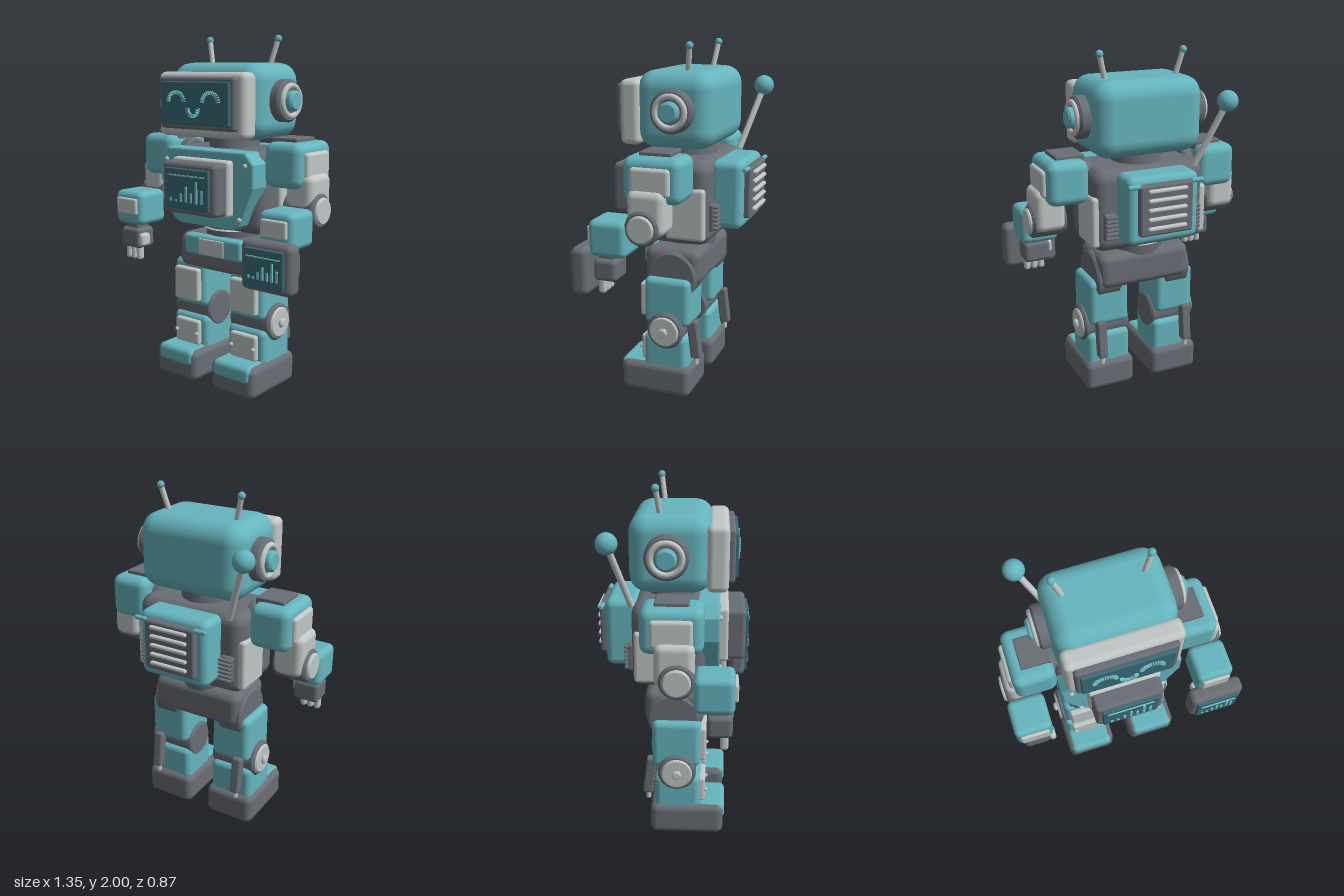
import * as THREE from 'three';
import { RoundedBoxGeometry } from 'three/addons/geometries/RoundedBoxGeometry.js';

const paint = (name, color) => {
  const m = new THREE.MeshStandardMaterial({ color });
  m.name = name;
  return m;
};

export function createModel() {
  const teal = paint('teal shell', 0x66b5be);
  const light = paint('light grey panel', 0xc0c7c6);
  const dark = paint('dark grey frame', 0x696e75);
  const glass = paint('screen glass', 0x3a6b79);
  const glow = paint('screen glow', 0x78c8cc);

  const model = new THREE.Group();
  model.name = 'robot';
  const body = new THREE.Group();
  body.name = 'body';
  body.position.x = -0.027;
  model.add(body);

  const add = (name, geo, mat, x = 0, y = 0, z = 0) => {
    const m = new THREE.Mesh(geo, mat);
    m.name = name;
    m.position.set(x, y, z);
    body.add(m);
    return m;
  };
  // Rounded box given by its limits on each axis
  const box = (name, mat, x0, x1, y0, y1, z0, z1, r = 0.02) => {
    const w = Math.abs(x1 - x0), h = y1 - y0, d = z1 - z0;
    const rr = Math.min(r, w * 0.48, h * 0.48, d * 0.48);
    return add(name, new RoundedBoxGeometry(w, h, d, 3, rr), mat, (x0 + x1) / 2, (y0 + y1) / 2, (z0 + z1) / 2);
  };
  const ball = (name, mat, r, x, y, z) => add(name, new THREE.SphereGeometry(r, 24, 16), mat, x, y, z);
  // Disc lying along x, with a softened rim
  const disc = (name, mat, r, x0, x1, y, z, sides = 32) => {
    const h = Math.abs(x1 - x0) / 2, b = Math.min(0.012, h * 0.6, r * 0.3);
    const pts = [[0, -h], [r - b, -h], [r - b, -h], [r, b - h], [r, b - h], [r, h - b], [r, h - b], [r - b, h], [r - b, h], [0, h]];
    const m = add(name, new THREE.LatheGeometry(pts.map(p => new THREE.Vector2(...p)), sides), mat, (x0 + x1) / 2, y, z);
    m.rotation.z = Math.PI / 2;
    return m;
  };
  const rod = (name, mat, r, a, b) => {
    const p = new THREE.Vector3(...a), q = new THREE.Vector3(...b);
    const m = add(name, new THREE.CylinderGeometry(r, r, p.distanceTo(q), 16), mat);
    m.position.copy(p).lerp(q, 0.5);
    m.quaternion.setFromUnitVectors(new THREE.Vector3(0, 1, 0), q.sub(p).normalize());
    return m;
  };
  // Arc built from short radial ticks
  const tickArc = (name, x, y, z, r, a0, a1, n) => {
    for (let i = 0; i <= n; i++) {
      const a = a0 + (a1 - a0) * i / n;
      const m = add(name, new THREE.BoxGeometry(0.02, 0.007, 0.014), glow, x + r * Math.cos(a), y + r * Math.sin(a), z);
      m.rotation.z = a;
    }
  };
  // Title line and bars on a screen
  const chart = (name, x, y, z, k) => {
    const flat = (w, h, dx, dy) => add(name, new THREE.BoxGeometry(w * k, h * k, 0.008), glow, x + dx * k, y + dy * k, z);
    flat(0.26, 0.008, 0, 0.075);
    [0.02, 0.012, 0.045, 0.085, 0.055, 0.12, 0.075].forEach((h, i) => flat(0.014, h, -0.11 + i * 0.037, -0.07 + h / 2));
  };

  // Head and face
  box('head', teal, -0.32, 0.32, 1.43, 1.85, -0.242, 0.2, 0.1);
  box('facePlate', light, -0.31, 0.31, 1.445, 1.8, 0.17, 0.288, 0.035);
  box('faceFrame', dark, -0.268, 0.268, 1.49, 1.775, 0.27, 0.32, 0.018);
  box('faceScreen', glass, -0.243, 0.243, 1.515, 1.75, 0.31, 0.336, 0.008);
  for (const s of [-1, 1]) tickArc('eye', s * 0.122, 1.635, 0.341, 0.057, 0.15, Math.PI - 0.15, 14);
  tickArc('smile', 0, 1.604, 0.341, 0.038, Math.PI, 2 * Math.PI, 11);
  for (const s of [-1, 1]) {
    // Ears and small antennas
    disc('earBase', dark, 0.117, s * 0.3, s * 0.378, 1.645, -0.035);
    const ring = add('earRing', new THREE.TorusGeometry(0.083, 0.016, 12, 36), light, s * 0.382, 1.645, -0.035);
    ring.rotation.y = Math.PI / 2;
    disc('earButton', teal, 0.057, s * 0.37, s * 0.42, 1.645, -0.035);
    rod('antennaRod', light, 0.015, [s * 0.208, 1.83, -0.075], [s * 0.247, 1.98, -0.097]);
    ball('antennaTip', teal, 0.021, s * 0.247, 1.98, -0.097);
  }
  rod('rearAntennaRod', light, 0.018, [-0.26, 1.36, -0.23], [-0.396, 1.72, -0.335]);
  ball('rearAntennaBall', teal, 0.058, -0.396, 1.725, -0.335);
  add('neck', new THREE.CylinderGeometry(0.14, 0.15, 0.12, 32), dark, 0, 1.4, -0.02);

  // Torso with tapered chest plate
  box('torso', dark, -0.335, 0.335, 0.91, 1.38, -0.23, 0.17, 0.07);
  const plate = new THREE.Shape([[-0.19, 0.955], [0.19, 0.955], [0.235, 0.98], [0.325, 1.19], [0.325, 1.31], [0.275, 1.365],
    [-0.275, 1.365], [-0.325, 1.31], [-0.325, 1.19], [-0.235, 0.98]].map(p => new THREE.Vector2(...p)));
  add('chestPlate', new THREE.ExtrudeGeometry(plate, { depth: 0.1, bevelSize: 0.012, bevelThickness: 0.012, bevelSegments: 3 }), teal, 0, 0, 0.135);
  box('chestBacking', light, -0.203, 0.203, 1.02, 1.33, 0.22, 0.295, 0.02);
  box('chestFrame', dark, -0.192, 0.192, 1.03, 1.317, 0.27, 0.388, 0.025);
  box('chestScreen', glass, -0.158, 0.158, 1.06, 1.285, 0.37, 0.403, 0.008);
  chart('chestChart', 0, 1.172, 0.405, 1);
  for (const s of [-1, 1]) {
    ball('chestBolt', light, 0.014, s * 0.285, 1.307, 0.247);
    ball('chestBolt', light, 0.014, s * 0.245, 1.01, 0.247);
    box('torsoSidePanel', light, s * 0.3, s * 0.35, 0.945, 1.235, -0.215, 0.01, 0.02);
    box('backVent', dark, s * 0.22, s * 0.29, 0.995, 1.145, -0.25, -0.21, 0.01);
    for (let i = 0; i < 6; i++) box('backVentRib', dark, s * 0.215, s * 0.288, 1.003 + i * 0.024, 1.016 + i * 0.024, -0.272, -0.23, 0.005);
  }

  // Backpack
  box('backpack', teal, -0.212, 0.212, 0.99, 1.37, -0.382, -0.2, 0.04);
  box('backpackGrille', dark, -0.157, 0.157, 1.05, 1.335, -0.418, -0.36, 0.015);
  for (let i = 0; i < 5; i++) box('grilleSlat', light, -0.115, 0.115, 1.083 + i * 0.052, 1.105 + i * 0.052, -0.437, -0.405, 0.01);
  for (const s of [-1, 1]) disc('backpackPin', teal, 0.013, s * 0.15, s * 0.222, 1.33, -0.4, 16);

  // Waist and pelvis
  add('waist', new THREE.CylinderGeometry(0.165, 0.155, 0.12, 32), dark, 0, 0.9, -0.01);
  add('waistRing', new THREE.CylinderGeometry(0.13, 0.17, 0.04, 32), light, 0, 0.925, -0.01);
  box('pelvis', dark, -0.282, 0.282, 0.655, 0.865, -0.165, 0.165, 0.05);
  box('beltPlate', teal, -0.21, 0.21, 0.75, 0.87, 0.12, 0.195, 0.02);
  box('beltBadge', light, -0.092, 0.092, 0.76, 0.855, 0.18, 0.202, 0.006);

  for (const s of [-1, 1]) {
    const c = s * 0.212;
    const pair = (name, mat, half, ...rest) => box(name, mat, c - half, c + half, ...rest);
    // Leg
    disc('hipJoint', dark, 0.145, s * 0.14, s * 0.295, 0.705, -0.005);
    pair('thigh', teal, 0.12, 0.42, 0.7, -0.125, 0.15, 0.035);
    pair('thighPanel', light, 0.093, 0.455, 0.655, 0.13, 0.182, 0.014);
    disc('kneeJoint', dark, 0.108, s * 0.075, s * 0.355, 0.395, 0.017);
    pair('kneePad', dark, 0.125, 0.32, 0.45, -0.08, 0.125, 0.03);
    disc('kneeCap', light, 0.088, s * 0.34, s * 0.367, 0.395, 0.017);
    disc('kneeNut', light, 0.028, s * 0.36, s * 0.388, 0.395, 0.017, 6);
    pair('shin', teal, 0.132, 0.14, 0.365, -0.11, 0.15, 0.035);
    pair('shinPanel', light, 0.092, 0.185, 0.335, 0.13, 0.178, 0.014);
    for (const t of [-1, 1]) ball('shinBolt', light, 0.012, c + t * 0.078, 0.258, 0.18);
    const x = s * 0.275;
    const piston = box('calfPiston', dark, x - 0.028, x + 0.028, 0.23, 0.455, -0.17, -0.11, 0.012);
    piston.rotation.x = 0.12;
    rod('pistonRod', light, 0.014, [x, 0.3, -0.145], [x, 0.19, -0.15]);
    // Foot
    pair('foot', dark, 0.153, 0, 0.185, -0.135, 0.284, 0.04);
    pair('toeCap', teal, 0.133, 0.09, 0.19, 0.13, 0.292, 0.03);

    // Shoulder and upper arm
    disc('shoulderJoint', dark, 0.1, s * 0.28, s * 0.4, 1.31, 0);
    box('shoulder', teal, s * 0.335, s * 0.57, 1.19, 1.435, -0.165, 0.165, 0.05);
    box('shoulderTop', dark, s * 0.34, s * 0.505, 1.38, 1.455, -0.09, 0.088, 0.008);
    box('shoulderPanel', light, s * 0.53, s * 0.592, 1.235, 1.385, -0.11, 0.11, 0.02);
    box('upperArm', light, s * 0.45, s * 0.62, 1.03, 1.268, -0.088, 0.12, 0.04);
    disc('elbow', dark, 0.095, s * 0.435, s * 0.632, 1.073, 0.03);
    disc('elbowCap', light, 0.074, s * 0.62, s * 0.648, 1.073, 0.03);
    // Forearm and hand
    const a = s * 0.537;
    const arm = (name, mat, half, ...rest) => box(name, mat, a - half, a + half, ...rest);
    arm('forearm', teal, 0.108, 0.9, 1.1, 0.115, 0.33, 0.035);
    arm('forearmPanel', light, 0.082, 0.965, 1.062, 0.3, 0.346, 0.012);
    arm('wrist', dark, 0.05, 0.85, 0.92, 0.2, 0.3, 0.02);
    arm('hand', dark, 0.077, 0.755, 0.878, 0.185, 0.32, 0.025);
    box('thumb', light, s * 0.465, s * 0.425, 0.775, 0.852, 0.25, 0.325, 0.018);
    for (let i = -1; i <= 1; i++)
      box('finger', light, a + i * 0.043 - 0.019, a + i * 0.043 + 0.019, 0.68, 0.78, 0.255, 0.3, 0.018);
  }

  // Tablet in the left hand
  box('tablet', dark, 0.378, 0.697, 0.69, 0.957, 0.313, 0.413, 0.035);
  box('tabletScreen', glass, 0.412, 0.662, 0.72, 0.925, 0.395, 0.428, 0.008);
  chart('tabletChart', 0.537, 0.822, 0.431, 0.8);

  return model;
}
